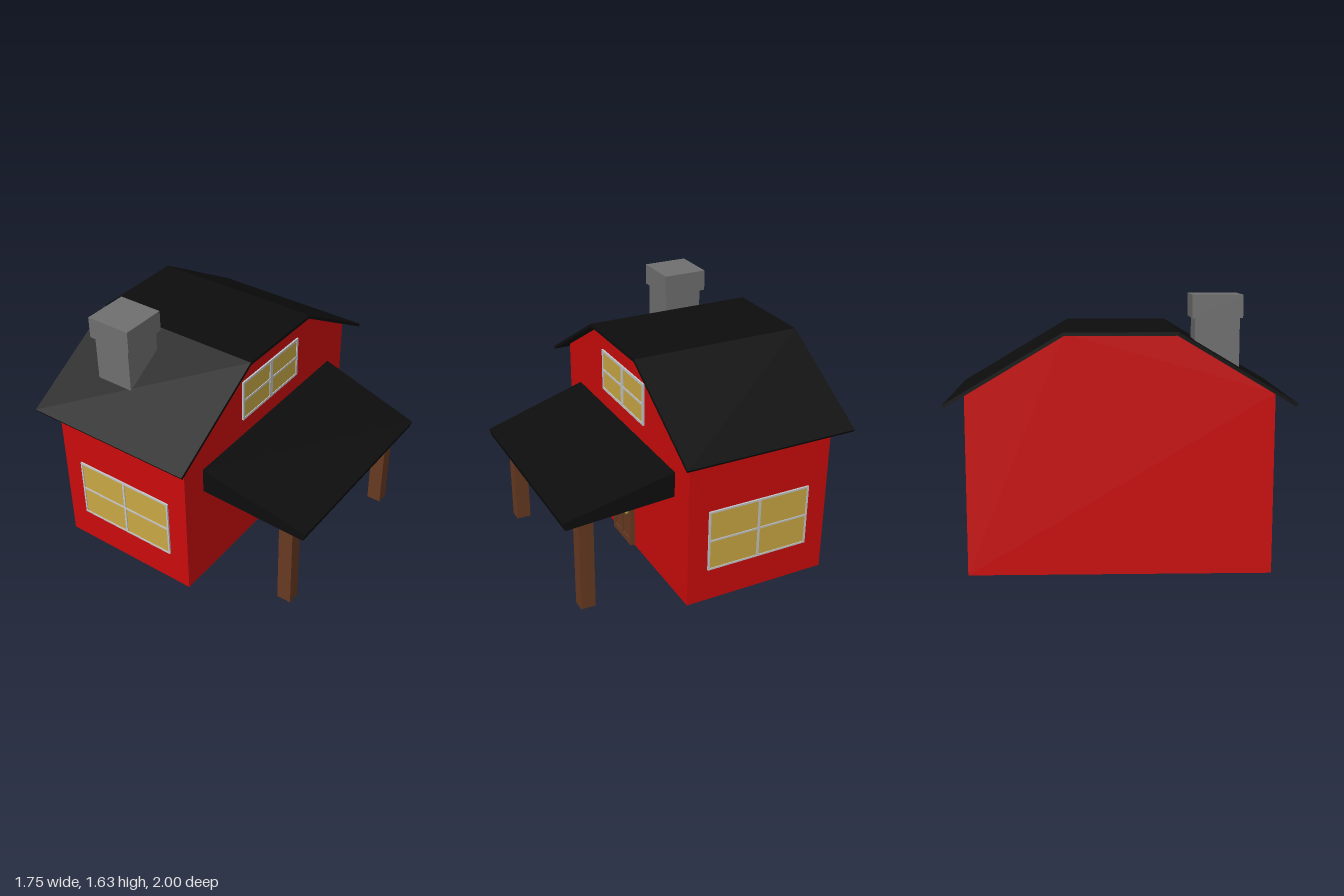
import * as THREE from 'three';

const mat = (name, color) => {
  const m = new THREE.MeshStandardMaterial({ color });
  m.name = name;
  return m;
};

export function createModel() {
  const red = mat('red wall', 0xcc0c0c);
  const black = mat('black roofing', 0x0d0d0d);
  const grey = mat('grey chimney', 0x707070);
  const brown = mat('brown wood', 0x683a22);
  const pale = mat('pale window frame', 0xc4c6c8);
  const amber = mat('amber glass', 0xcaa944);
  const brass = mat('brass', 0x94762a);

  const house = new THREE.Group();
  house.name = 'house';

  const add = (parent, name, geometry, material) => {
    const mesh = new THREE.Mesh(geometry, material);
    mesh.name = name;
    parent.add(mesh);
    return mesh;
  };
  // Box given by its limits on each axis
  const box = (parent, name, material, [x0, x1], [y0, y1], [z0, z1]) => {
    const mesh = add(parent, name, new THREE.BoxGeometry(x1 - x0, y1 - y0, z1 - z0), material);
    mesh.position.set((x0 + x1) / 2, (y0 + y1) / 2, (z0 + z1) / 2);
    return mesh;
  };
  // Gable profile of (z, y) points, extruded along x
  const gable = (name, material, points, x0, x1) => {
    const shape = new THREE.Shape(points.map(([z, y]) => new THREE.Vector2(z, y)));
    const geometry = new THREE.ExtrudeGeometry(shape, { depth: x1 - x0, bevelEnabled: false });
    geometry.rotateY(Math.PI / 2).translate(x0, 0, 0);
    add(house, name, geometry, material);
  };
  const mirrored = (half) => [...half, ...half.map(([z, y]) => [-z, y]).reverse()];

  // Walls and the bent roof sheet
  gable('walls', red, mirrored([[0.885, 0.02], [0.885, 1.087], [0.317, 1.427]]), -0.79, 0.175);
  const outer = mirrored([[1, 1.035], [0.32, 1.44]]);
  const inner = mirrored([[0.99, 1.018], [0.315, 1.42]]).reverse();
  gable('roof', black, [...outer, ...inner], -0.875, 0.25);

  // Chimney
  box(house, 'chimneyStack', grey, [-0.605, -0.355], [1.1, 1.5], [0.44, 0.7]);
  box(house, 'chimneyCap', grey, [-0.63, -0.335], [1.5, 1.635], [0.42, 0.715]);

  // Porch roof: a box tapered towards its outer edge
  const porch = new THREE.BoxGeometry(1, 1, 1);
  const p = porch.attributes.position;
  for (let i = 0; i < p.count; i++) {
    const out = p.getX(i) > 0, top = p.getY(i) > 0, side = Math.sign(p.getZ(i));
    if (out) p.setXYZ(i, top ? 0.87 : 0.855, top ? 0.67 : 0.62, side * 0.66);
    else p.setXYZ(i, 0.175, top ? 0.86 : 0.695, side * 0.708);
  }
  porch.computeVertexNormals();
  add(house, 'porchRoof', porch, black);

  // Porch posts
  for (const s of [-1, 1]) {
    const post = box(house, s > 0 ? 'frontPost' : 'backPost', brown, [0.66, 0.755], [0, 0.65], [-0.042, 0.042]);
    post.position.z = s * 0.572;
  }

  // Door with raised rails around four panels
  const door = new THREE.Group();
  door.name = 'door';
  house.add(door);
  box(door, 'doorPanel', brown, [0.17, 0.196], [0.025, 0.525], [-0.155, 0.11]);
  const face = [0.19, 0.206];
  for (const [z0, z1] of [[-0.155, -0.13], [-0.033, -0.012], [0.085, 0.11]])
    box(door, 'doorStile', brown, face, [0.025, 0.525], [z0, z1]);
  for (const [y0, y1] of [[0.025, 0.068], [0.265, 0.285], [0.5, 0.525]])
    box(door, 'doorRail', brown, [0.19, 0.205], [y0, y1], [-0.154, 0.109]);
  const knob = add(door, 'doorKnob', new THREE.SphereGeometry(0.015, 16, 12), brass);
  knob.position.set(0.221, 0.275, -0.13);
  const stem = add(door, 'knobStem', new THREE.CylinderGeometry(0.006, 0.006, 0.03, 12), brass);
  stem.rotation.z = Math.PI / 2;
  stem.position.set(0.21, 0.275, -0.13);

  // Window facing +z around its own centre: frame with four openings over a pane
  const addWindow = (name, w, h, edge, mullion, rail) => {
    const g = new THREE.Group();
    g.name = name;
    const rect = (path, x0, y0, x1, y1) =>
      path.moveTo(x0, y0).lineTo(x1, y0).lineTo(x1, y1).lineTo(x0, y1).closePath();
    const frame = rect(new THREE.Shape(), -w / 2, -h / 2, w / 2, h / 2);
    for (const sx of [-1, 1]) for (const sy of [-1, 1])
      frame.holes.push(rect(new THREE.Path(),
        sx * mullion / 2, sy * rail / 2, sx * (w / 2 - edge), sy * (h / 2 - edge)));
    add(g, 'windowFrame', new THREE.ExtrudeGeometry(frame, { depth: 0.011, bevelEnabled: false }), pale);
    box(g, 'windowPane', amber, [-w / 2 + 0.005, w / 2 - 0.005], [-h / 2 + 0.005, h / 2 - 0.005], [-0.002, 0.006]);
    house.add(g);
    return g;
  };
  addWindow('frontWindow', 0.695, 0.41, 0.012, 0.015, 0.012).position.set(-0.307, 0.445, 0.885);
  const back = addWindow('backWindow', 0.695, 0.41, 0.012, 0.015, 0.012);
  back.position.set(-0.307, 0.445, -0.885);
  back.rotation.y = Math.PI;
  const attic = addWindow('atticWindow', 0.605, 0.28, 0.016, 0.03, 0.015);
  attic.position.set(0.175, 1.12, 0);
  attic.rotation.y = Math.PI / 2;

  return house;
}
